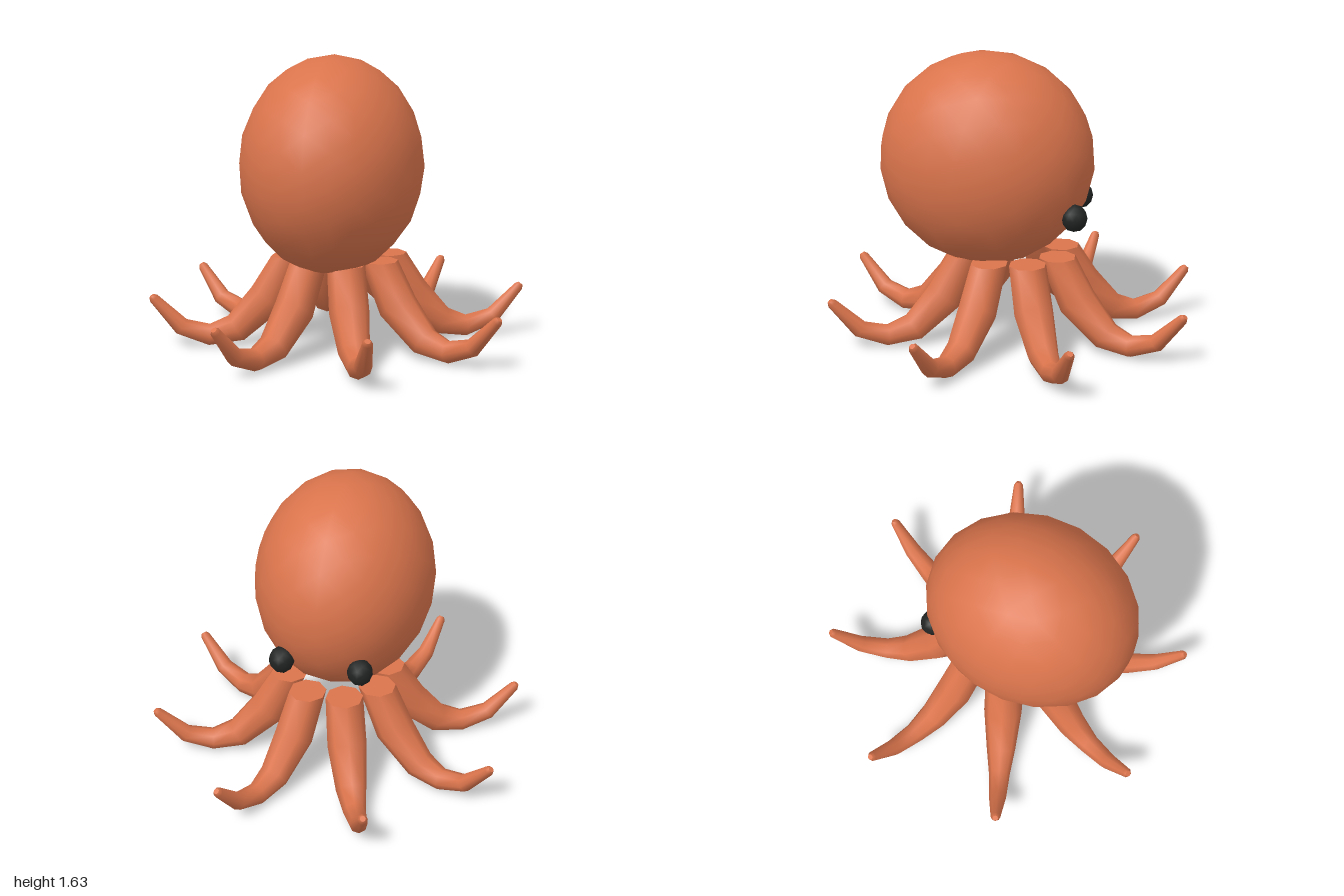
import * as THREE from 'three';

const skin = new THREE.MeshStandardMaterial({ color: 0xda744c });
skin.name = 'orange skin';
const black = new THREE.MeshStandardMaterial({ color: 0x222424 });
black.name = 'eye black';

// Arm cross-sections: distance from the middle, height, radius
const SECTIONS = [
  [0.277, 0.51, 0.105],
  [0.405, 0.27, 0.11],
  [0.585, 0.1, 0.085],
  [0.735, 0.067, 0.062],
  [0.89, 0.12, 0.05],
  [1.04, 0.287, 0.028],
  [1.052, 0.302, 0.016],
];
const SIDES = 8;

// Tapered arm lofted through the sections, reaching along +x
function armGeometry() {
  const pos = [];
  const index = [];
  const last = SECTIONS.length - 1;
  const ring = (i) => {
    const [r, y, radius] = SECTIONS[i];
    const a = SECTIONS[Math.max(i - 1, 0)];
    const b = SECTIONS[Math.min(i + 1, last)];
    // the root is cut level, the others square to the path
    const t = i === 0
      ? new THREE.Vector2(0, -1)
      : new THREE.Vector2(b[0] - a[0], b[1] - a[1]).normalize();
    for (let j = 0; j < SIDES; j++) {
      const angle = (j / SIDES) * Math.PI * 2;
      const n = Math.cos(angle) * radius;
      pos.push(r - t.y * n, y + t.x * n, Math.sin(angle) * radius);
    }
  };
  for (let i = 0; i <= last; i++) ring(i);
  for (let i = 0; i < last; i++) {
    for (let j = 0; j < SIDES; j++) {
      const k = (j + 1) % SIDES;
      const a = i * SIDES + j, b = i * SIDES + k;
      index.push(a, b, a + SIDES, b, b + SIDES, a + SIDES);
    }
  }
  // End caps with their own corners, so their rims stay sharp
  for (const i of [0, last]) {
    const start = pos.length / 3;
    ring(i);
    for (let j = 1; j < SIDES - 1; j++) {
      if (i === 0) index.push(start, start + j + 1, start + j);
      else index.push(start, start + j, start + j + 1);
    }
  }
  const g = new THREE.BufferGeometry();
  g.setAttribute('position', new THREE.Float32BufferAttribute(pos, 3));
  g.setIndex(index);
  g.computeVertexNormals();
  return g;
}

export function createModel() {
  const model = new THREE.Group();
  model.name = 'octopus';

  // Head: a smooth ball with one corner turned to the side, narrowed in x
  const headGeometry = new THREE.IcosahedronGeometry(0.6, 3);
  headGeometry.rotateY(Math.atan2(2, 1 + Math.sqrt(5)));
  headGeometry.rotateX(-0.085);
  const head = new THREE.Mesh(headGeometry, skin);
  head.name = 'head';
  head.scale.set(0.833, 1, 1);
  head.position.set(0, 1.04, 0.15);
  model.add(head);

  // Eyes, low on the -z side of the head
  const eyeGeometry = new THREE.IcosahedronGeometry(0.075, 1);
  for (const side of [-1, 1]) {
    const eye = new THREE.Mesh(eyeGeometry, black);
    eye.name = side > 0 ? 'leftEye' : 'rightEye';
    eye.position.set(side * 0.22, 0.775, -0.357);
    eye.scale.set(0.95, 1.03, 0.95);
    model.add(eye);
  }

  // Eight arms around the middle
  const arms = new THREE.Group();
  arms.name = 'arms';
  const geometry = armGeometry();
  for (let i = 0; i < 8; i++) {
    const arm = new THREE.Mesh(geometry, skin);
    arm.name = `arm${i + 1}`;
    arm.rotation.y = ((i + 0.5) * Math.PI) / 4;
    arms.add(arm);
  }
  model.add(arms);

  return model;
}
